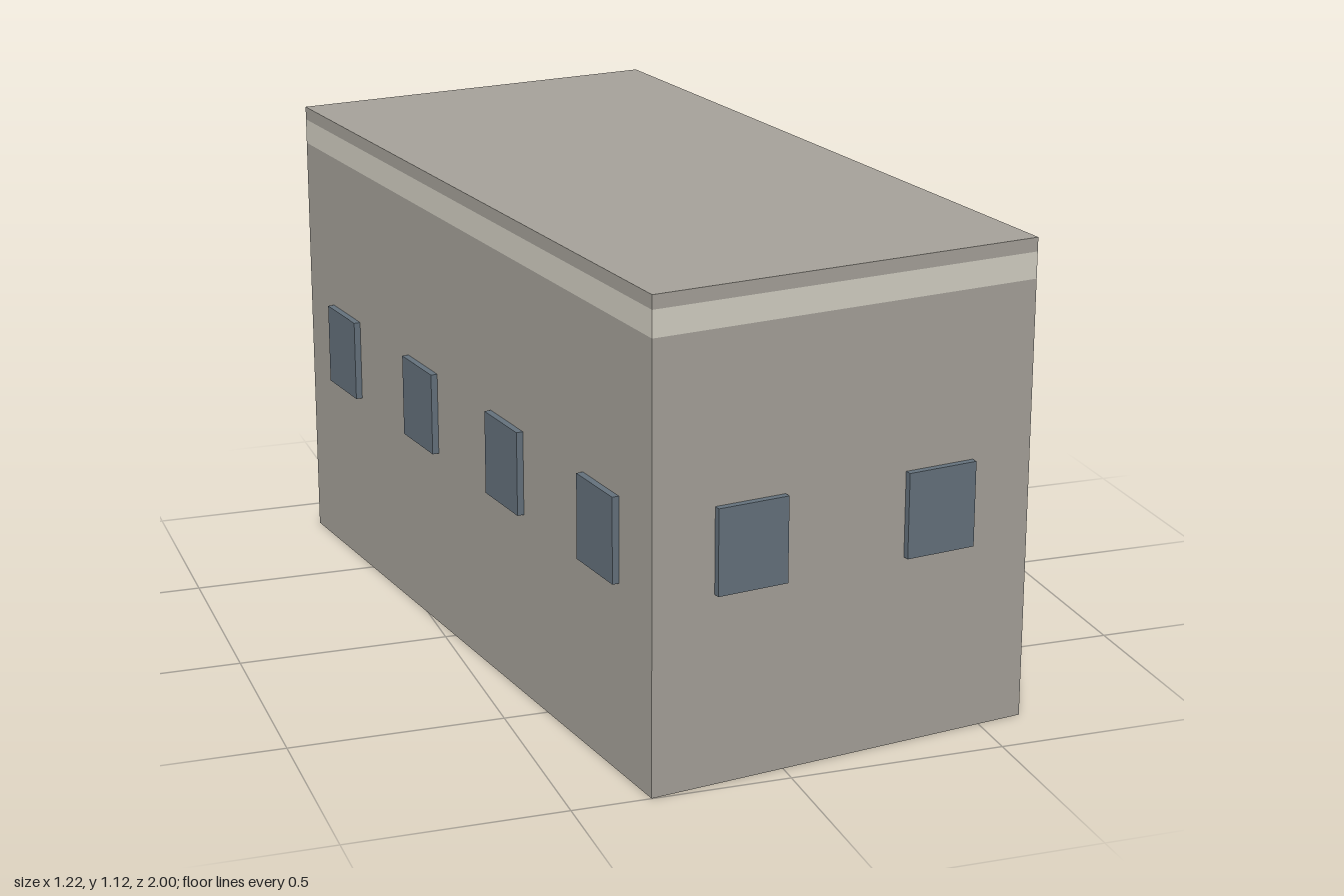
import * as THREE from 'three';

const WIDTH = 0.939, LENGTH = 1.877, HEIGHT = 1.12;
const YAW = 0.1545; // the block stands slightly turned
const PANE = { size: 0.17, height: 0.198, y: 0.539, proud: 0.016 };

const material = (name, color) => {
  const m = new THREE.MeshStandardMaterial({ color });
  m.name = name;
  return m;
};

export function createModel() {
  const wall = material('warm grey wall', 0xa8a49c);
  const trim = material('pale band', 0xd6d2c6);
  const glass = material('blue grey glass', 0x66737e);

  const model = new THREE.Group();
  model.name = 'building';
  const block = new THREE.Group();
  block.name = 'turnedBlock';
  block.rotation.y = YAW;
  model.add(block);

  // Main block: three rows per side, the middle one being the pale band
  const geometry = new THREE.BoxGeometry(WIDTH, HEIGHT, LENGTH, 1, 3, 1);
  const levels = [0, 1.027, 1.088, HEIGHT];
  const pos = geometry.attributes.position;
  for (let i = 0; i < pos.count; i++) {
    pos.setY(i, levels[Math.round((pos.getY(i) / HEIGHT + 0.5) * 3)]);
  }
  const faces = geometry.groups.slice();
  geometry.clearGroups();
  for (const { start, count } of faces) {
    if (count === 6) geometry.addGroup(start, 6, 0); // roof and floor
    else [0, 1, 0].forEach((m, row) => geometry.addGroup(start + row * 6, 6, m));
  }
  const body = new THREE.Mesh(geometry, [wall, trim]);
  body.name = 'wallsAndBand';
  block.add(body);

  // Evenly spaced windows along each wall, standing slightly proud
  const pane = new THREE.BoxGeometry(PANE.size, PANE.height, PANE.proud * 2);
  const addWindows = (name, turn, distance, span, count) => {
    const side = new THREE.Group();
    side.name = name;
    side.rotation.y = turn;
    for (let i = 0; i < count; i++) {
      const mesh = new THREE.Mesh(pane, glass);
      mesh.name = 'window';
      mesh.position.set(((i + 0.5) / count - 0.5) * span, PANE.y, distance);
      side.add(mesh);
    }
    block.add(side);
  };
  addWindows('frontWindows', 0, LENGTH / 2, WIDTH, 2);
  addWindows('backWindows', Math.PI, LENGTH / 2, WIDTH, 2);
  addWindows('leftWindows', Math.PI / 2, WIDTH / 2, LENGTH, 4);
  addWindows('rightWindows', -Math.PI / 2, WIDTH / 2, LENGTH, 4);

  return model;
}
